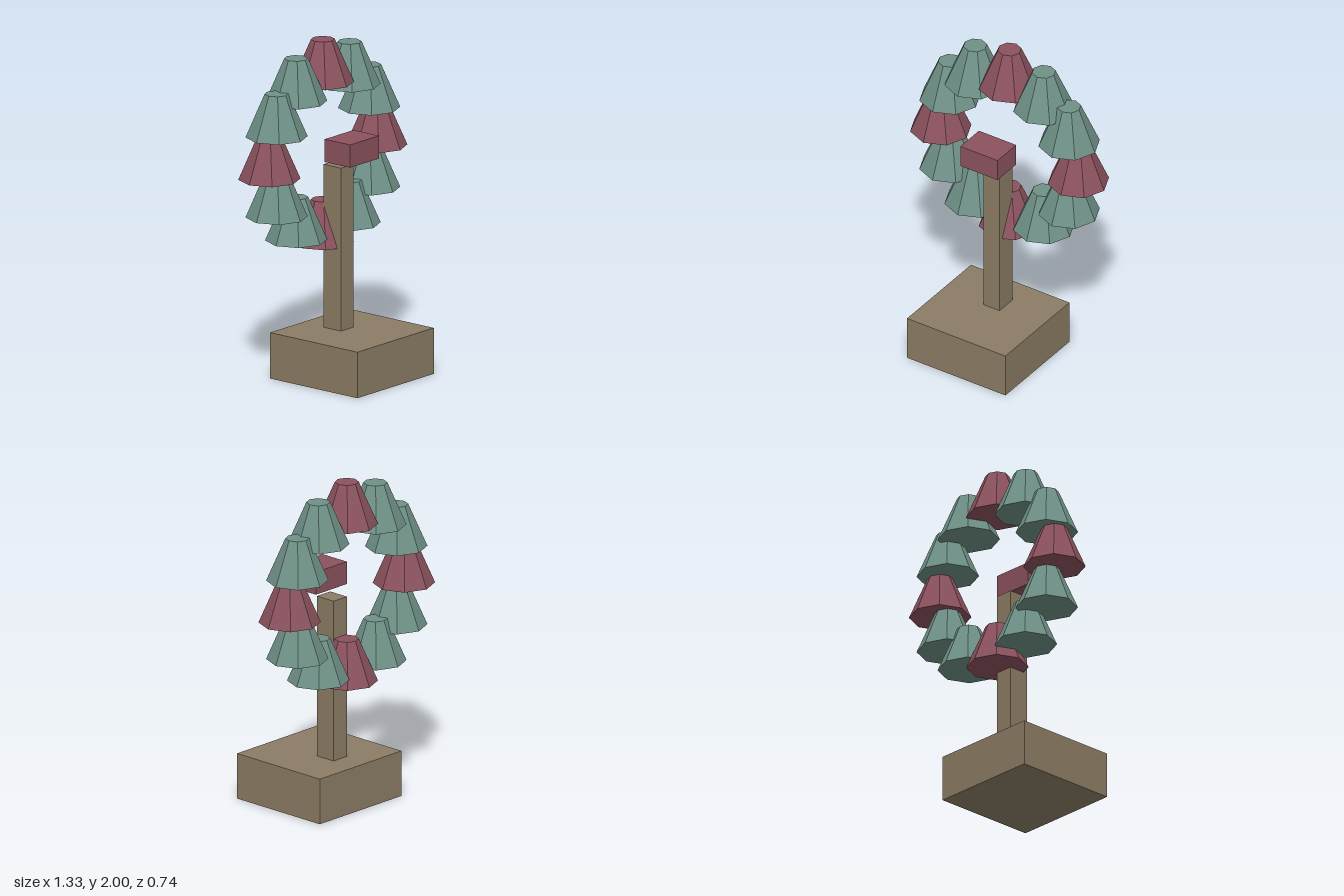
import * as THREE from 'three';

const material = (name, color) => {
  const m = new THREE.MeshStandardMaterial({ color, flatShading: true });
  m.name = name;
  return m;
};

export function createModel() {
  const model = new THREE.Group();
  model.name = 'wreathStand';
  const wood = material('brown wood', 0x8b7c64);
  const green = material('sage green', 0x6f9187);
  const red = material('dusty red', 0x8b525e);

  // Box given by its minimum and maximum corners
  const box = (name, mat, [x0, y0, z0], [x1, y1, z1]) => {
    const mesh = new THREE.Mesh(new THREE.BoxGeometry(x1 - x0, y1 - y0, z1 - z0), mat);
    mesh.position.set((x0 + x1) / 2, (y0 + y1) / 2, (z0 + z1) / 2);
    mesh.name = name;
    model.add(mesh);
  };

  // Stand and the floating block above the post
  box('base', wood, [-0.346, 0, -0.297], [0.346, 0.278, 0.368]);
  box('post', wood, [-0.056, 0.278, -0.134], [0.056, 1.264, 0]);
  box('block', red, [-0.131, 1.306, -0.062], [0.131, 1.444, 0.132]);

  // Ring of twelve upright tapered tufts, every third one red
  const wreath = new THREE.Group();
  wreath.name = 'wreath';
  wreath.position.set(0, 1.386, -0.186);
  const tuft = new THREE.CylinderGeometry(0.07, 0.182, 0.26, 8);
  for (let i = 0; i < 12; i++) {
    const a = (i / 12) * Math.PI * 2;
    const isRed = i % 3 === 0;
    const mesh = new THREE.Mesh(tuft, isRed ? red : green);
    mesh.name = isRed ? 'redTuft' : 'greenTuft';
    mesh.position.set(Math.sin(a) * 0.484, Math.cos(a) * 0.484, 0);
    wreath.add(mesh);
  }
  model.add(wreath);

  return model;
}
